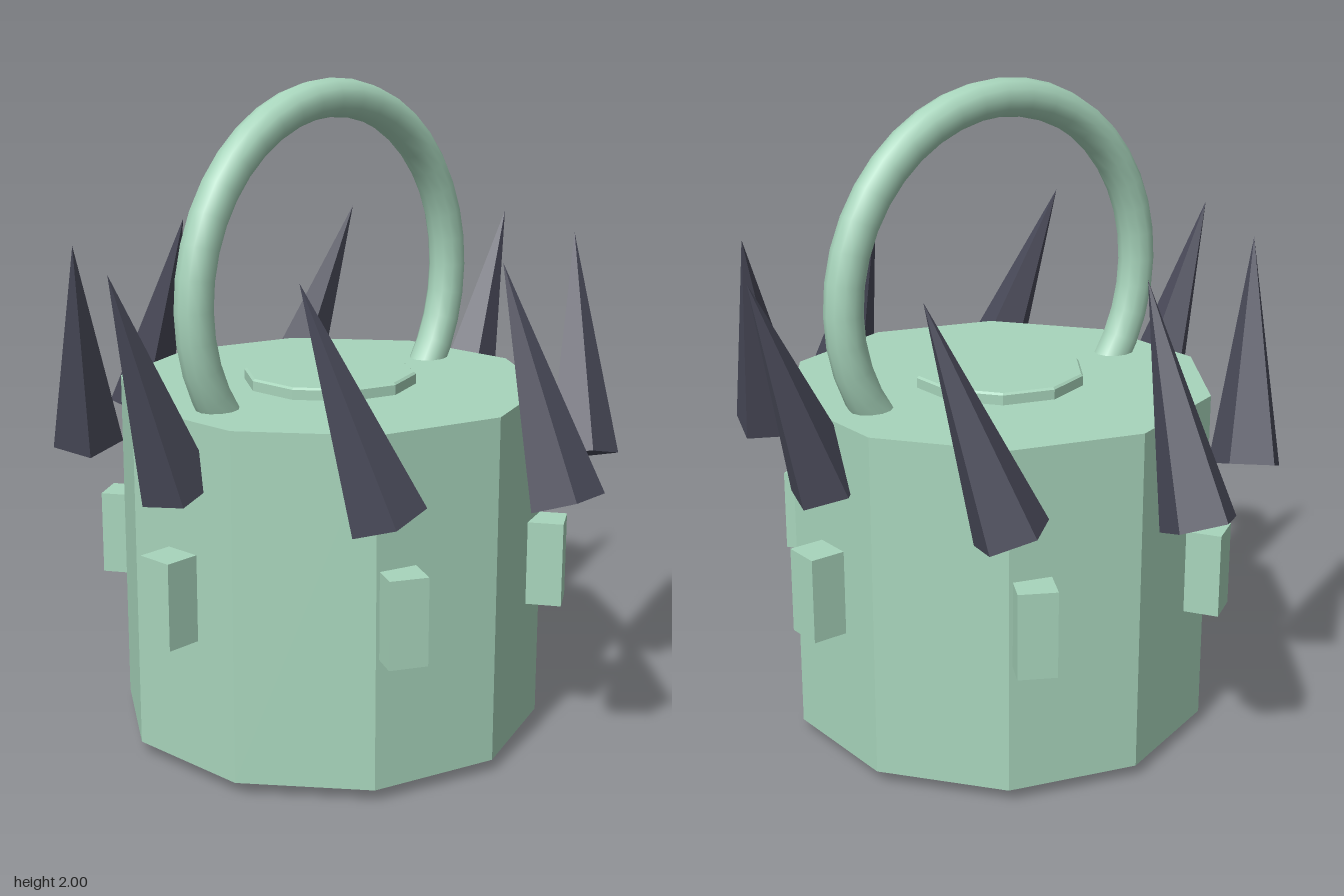
import * as THREE from 'three';

const mint = new THREE.MeshStandardMaterial({ color: 0xa8d5bc });
mint.name = 'mint';
const slate = new THREE.MeshStandardMaterial({ color: 0x4a4b5a });
slate.name = 'dark slate';

// Faceted normals for the low-poly parts
function faceted(geometry) {
  const g = geometry.toNonIndexed();
  g.computeVertexNormals();
  return g;
}

function add(parent, name, geometry, material, x = 0, y = 0, z = 0) {
  const mesh = new THREE.Mesh(geometry, material);
  mesh.name = name;
  mesh.position.set(x, y, z);
  parent.add(mesh);
  return mesh;
}

export function createModel() {
  const model = new THREE.Group();
  model.name = 'spikedDrum';
  const core = new THREE.Group();
  core.name = 'core';
  core.position.z = 0.0075;
  model.add(core);

  // Ten-sided drum with a raised disc on each end
  add(core, 'body', faceted(new THREE.CylinderGeometry(0.653, 0.653, 1.047, 10)), mint, 0, 0.5625, 0);
  const disc = [[0, 0], [0.257, 0], [0.264, 0.006], [0.264, 0.045]].map(([x, y]) => new THREE.Vector2(x, y));
  const discGeometry = faceted(new THREE.LatheGeometry(disc, 10));
  add(core, 'bottomDisc', discGeometry, mint);
  add(core, 'topDisc', discGeometry, mint, 0, 1.122, 0).rotation.x = Math.PI;

  // Round carrying handle, its ends sunk into the drum
  const handleArc = Math.PI * 1.5;
  const handleGeometry = new THREE.TorusGeometry(0.56, 0.0575, 12, 30, handleArc);
  handleGeometry.rotateZ(-Math.PI / 4);
  add(core, 'handle', handleGeometry, mint, 0, 1.382, 0);

  // Six blocks around the waist
  const blocks = new THREE.Group();
  blocks.name = 'blocks';
  core.add(blocks);
  const blockGeometry = new THREE.BoxGeometry(0.18, 0.26, 0.115);
  for (let i = 0; i < 6; i++) {
    const a = (i * Math.PI) / 3;
    add(blocks, 'block', blockGeometry, mint, 0.64 * Math.cos(a), 0.565, 0.64 * Math.sin(a)).rotation.y = -a;
  }

  // Eight five-sided spikes: bases and tips lie on two crossed ovals
  const spikes = new THREE.Group();
  spikes.name = 'spikes';
  core.add(spikes);
  const up = new THREE.Vector3(0, 1, 0);
  for (let i = 0; i < 8; i++) {
    const c = Math.cos((i * Math.PI) / 4), s = Math.sin((i * Math.PI) / 4);
    const base = new THREE.Vector3(0.635 * c, 0.882, 0.878 * s);
    const tip = new THREE.Vector3(0.867 * c, 1.524, 0.648 * s);
    const axis = tip.clone().sub(base);
    const cone = new THREE.ConeGeometry(0.1135, axis.length(), 5);
    cone.rotateY(Math.PI);
    const spike = add(spikes, 'spike', faceted(cone), slate);
    spike.position.copy(base).add(tip).multiplyScalar(0.5);
    spike.quaternion.setFromUnitVectors(up, axis.normalize());
  }
  return model;
}
